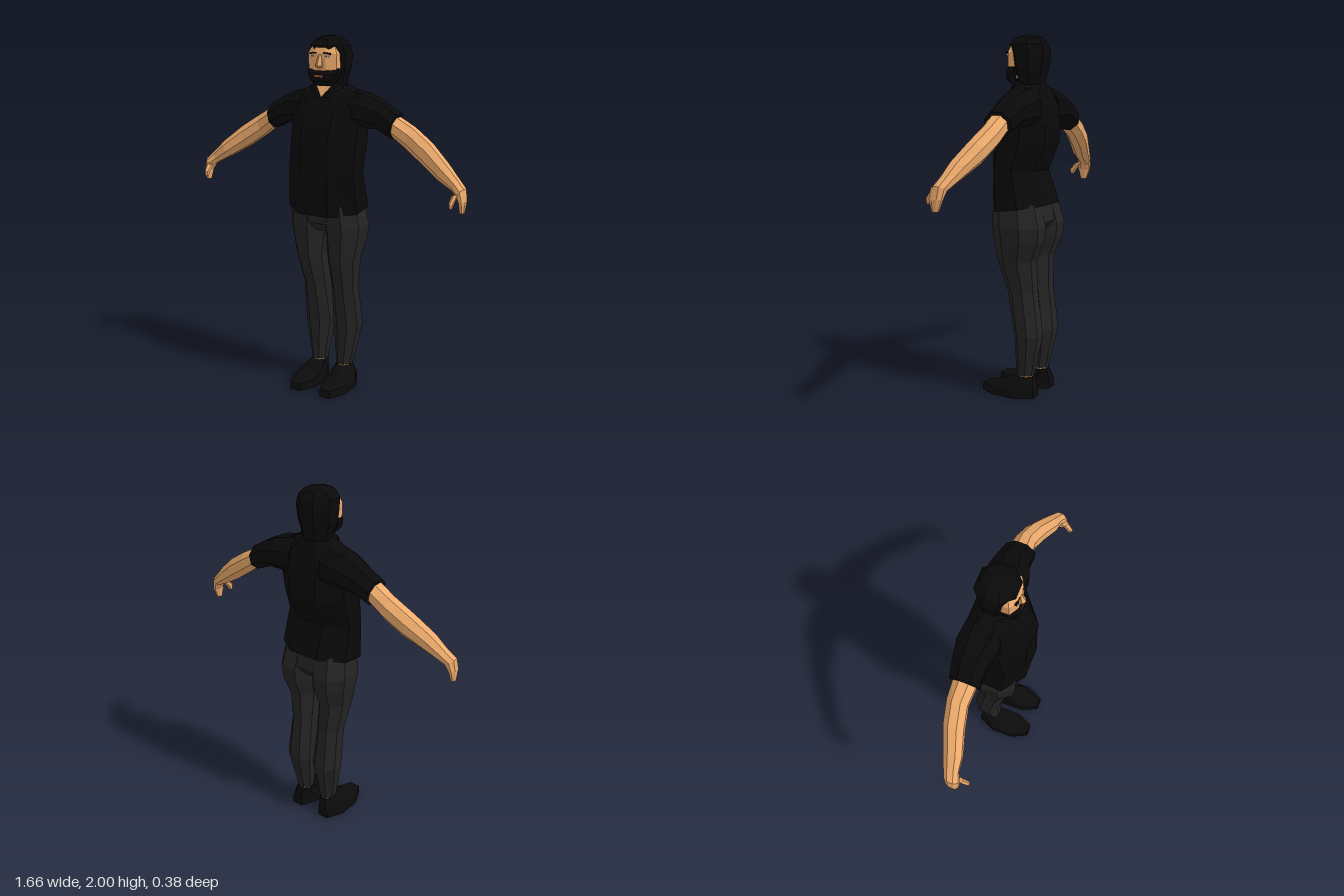
import * as THREE from 'three';

const SKIN = 0xecaa6c, SHIRT = 0x090909, TROUSERS = 0x242424, HAIR = 0x090909, SHOE = 0x0b0b0b;

const material = (color) => new THREE.MeshStandardMaterial({ color, flatShading: true });

// Closed loft through rings. Section: [x1, y1, x2, y2, zFront, zBack, tilt]:
// the ring spans the two xy points and zBack..zFront; tilt lowers the front and raises the back.
function loft(name, color, sections, side = 1, n = 8) {
  const k = 1 / Math.cos(Math.PI / n);
  const rings = sections.map(([x1, y1, x2, y2, zf, zb, tilt = 0]) =>
    Array.from({ length: n }, (_, i) => {
      const a = ((i + 0.5) / n) * Math.PI * 2;
      const u = Math.cos(a) * k, v = Math.sin(a) * k;
      return new THREE.Vector3(
        side * ((x1 + x2) / 2 + (u * (x1 - x2)) / 2),
        (y1 + y2) / 2 + (u * (y1 - y2)) / 2 - v * tilt,
        (zf + zb) / 2 + (v * (zf - zb)) / 2);
    }));
  const tris = [];
  const last = rings.length - 1;
  for (let r = 0; r < last; r++) {
    for (let i = 0; i < n; i++) {
      const j = (i + 1) % n;
      const a = rings[r][i], b = rings[r][j], c = rings[r + 1][j], d = rings[r + 1][i];
      tris.push([a, b, c], [a, c, d]);
    }
  }
  for (let i = 1; i < n - 1; i++) {
    tris.push([rings[0][0], rings[0][i + 1], rings[0][i]]);
    tris.push([rings[last][0], rings[last][i], rings[last][i + 1]]);
  }
  // Turn the faces outward
  const volume = tris.reduce((s, [a, b, c]) => s + a.dot(b.clone().cross(c)), 0);
  const points = tris.flatMap(([a, b, c]) => (volume < 0 ? [a, c, b] : [a, b, c]));
  const geometry = new THREE.BufferGeometry().setFromPoints(points);
  geometry.computeVertexNormals();
  const mesh = new THREE.Mesh(geometry, material(color));
  mesh.name = name;
  return mesh;
}

// Loft symmetric about x = 0, from [halfWidth, y, zFront, zBack, tilt]
const centred = (name, color, rows, n) =>
  loft(name, color, rows.map(([w, y, zf, zb, t]) => [w, y, -w, y, zf, zb, t]), 1, n);

// Upright limb from [outerX, innerX, y, zFront, zBack]
const upright = (name, color, rows, side) =>
  loft(name, color, rows.map(([xo, xi, y, zf, zb]) => [xo, y, xi, y, zf, zb]), side);

function block(name, color, size, position, roll = 0) {
  const mesh = new THREE.Mesh(new THREE.BoxGeometry(...size), material(color));
  mesh.name = name;
  mesh.position.set(...position);
  mesh.rotation.z = roll;
  return mesh;
}

function createHead() {
  const head = new THREE.Group();
  head.name = 'head';
  head.add(
    centred('neck', SKIN, [[0.065, 1.68, 0.01, -0.11], [0.06, 1.79, 0.02, -0.1]]),
    centred('hair', HAIR, [
      [0.078, 1.71, 0.005, -0.128], [0.085, 1.77, 0.015, -0.128], [0.103, 1.83, 0.035, -0.143],
      [0.109, 1.9, 0.045, -0.152], [0.102, 1.95, 0.06, -0.143], [0.07, 1.985, 0.03, -0.115],
      [0.03, 2.0, -0.015, -0.075]]),
    centred('face', SKIN, [
      [0.07, 1.77, 0.06, -0.03], [0.086, 1.83, 0.07, -0.03],
      [0.088, 1.91, 0.07, -0.03], [0.07, 1.95, 0.054, -0.03]]),
    centred('beard', HAIR, [
      [0.045, 1.74, 0.062, -0.02], [0.07, 1.765, 0.084, -0.03],
      [0.088, 1.8, 0.08, -0.03], [0.094, 1.832, 0.062, -0.03]]),
    centred('nose', SKIN, [
      [0.009, 1.905, 0.071, 0.05], [0.02, 1.848, 0.092, 0.05], [0.015, 1.835, 0.08, 0.05]], 6),
    block('mouth', 0x9c5040, [0.05, 0.01, 0.01], [0, 1.793, 0.079]));
  for (const side of [-1, 1]) {
    head.add(
      block('eyebrow', HAIR, [0.042, 0.008, 0.012], [side * 0.042, 1.912, 0.064], side * -0.12),
      block('eyeWhite', 0xd8d8d8, [0.026, 0.009, 0.01], [side * 0.04, 1.897, 0.064]),
      block('iris', 0x35506a, [0.01, 0.009, 0.012], [side * 0.04, 1.897, 0.0645]));
  }
  return head;
}

function createShirt() {
  const shirt = new THREE.Group();
  shirt.name = 'shirt';
  shirt.add(centred('torso', SHIRT, [
    [0.218, 1.065, 0.14, -0.185, 0.024], [0.205, 1.27, 0.137, -0.12], [0.203, 1.42, 0.14, -0.185],
    [0.205, 1.52, 0.112, -0.187], [0.22, 1.62, 0.07, -0.175], [0.19, 1.69, 0.043, -0.15],
    [0.095, 1.738, 0.02, -0.132]]));
  // Open neckline showing skin
  const neckline = new THREE.Mesh(new THREE.BufferGeometry().setFromPoints([
    new THREE.Vector3(-0.048, 1.742, 0.024), new THREE.Vector3(0, 1.678, 0.058),
    new THREE.Vector3(0.048, 1.742, 0.024)]), material(SKIN));
  neckline.geometry.computeVertexNormals();
  neckline.material.side = THREE.DoubleSide;
  neckline.name = 'neckline';
  shirt.add(neckline);
  for (const side of [-1, 1]) {
    shirt.add(loft('sleeve', SHIRT, [
      [0.1, 1.72, 0.1, 1.5, 0.02, -0.17], [0.22, 1.695, 0.2, 1.52, 0.035, -0.183],
      [0.31, 1.655, 0.28, 1.515, 0.005, -0.17], [0.402, 1.6, 0.375, 1.472, 0.002, -0.155]], side));
    // Collar flap beside the neckline
    shirt.add(loft('collar', SHIRT, [
      [0.1, 1.735, 0.06, 1.755, 0.0, -0.06], [0.085, 1.715, 0.045, 1.74, 0.03, 0.0],
      [0.035, 1.675, 0.006, 1.68, 0.062, 0.045]], side, 6));
  }
  return shirt;
}

function createArm(side) {
  const arm = new THREE.Group();
  arm.name = side > 0 ? 'leftArm' : 'rightArm';
  arm.add(
    loft('forearmAndHand', SKIN, [
      [0.37, 1.59, 0.355, 1.495, -0.015, -0.13], [0.405, 1.582, 0.385, 1.475, -0.015, -0.135],
      [0.49, 1.535, 0.457, 1.422, -0.025, -0.135], [0.6, 1.463, 0.56, 1.352, -0.005, -0.115],
      [0.71, 1.372, 0.668, 1.287, 0.025, -0.075], [0.775, 1.307, 0.748, 1.245, 0.03, -0.05],
      [0.822, 1.262, 0.772, 1.23, 0.045, -0.035], [0.832, 1.2, 0.795, 1.195, 0.048, -0.025],
      [0.826, 1.138, 0.802, 1.138, 0.034, -0.002]], side),
    loft('thumb', SKIN, [
      [0.8, 1.24, 0.77, 1.23, 0.06, 0.02], [0.79, 1.195, 0.768, 1.195, 0.095, 0.055],
      [0.785, 1.168, 0.772, 1.168, 0.09, 0.07]], side, 6));
  return arm;
}

function createLeg(side) {
  const leg = new THREE.Group();
  leg.name = side > 0 ? 'leftLeg' : 'rightLeg';
  leg.add(
    upright('trouserLeg', TROUSERS, [
      [0.2, 0, 1.1, 0.105, -0.15], [0.22, 0, 0.97, 0.105, -0.183], [0.208, 0.008, 0.89, 0.097, -0.175],
      [0.186, 0.02, 0.78, 0.083, -0.13], [0.161, 0.022, 0.6, 0.025, -0.135],
      [0.172, 0.012, 0.36, -0.018, -0.165], [0.127, 0.04, 0.122, -0.02, -0.115]], side),
    upright('ankle', SKIN, [
      [0.12, 0.046, 0.13, -0.025, -0.11], [0.12, 0.046, 0.1, -0.025, -0.11]], side),
    upright('shoe', SHOE, [
      [0.176, 0.02, 0, 0.188, -0.137], [0.172, 0.024, 0.045, 0.185, -0.137],
      [0.152, 0.032, 0.075, 0.065, -0.132], [0.126, 0.038, 0.115, -0.015, -0.122]], side));
  return leg;
}

export function createModel() {
  const model = new THREE.Group();
  model.name = 'man';
  model.add(createHead(), createShirt());
  model.add(centred('hips', TROUSERS, [
    [0.2, 1.12, 0.1, -0.15], [0.212, 0.99, 0.1, -0.17], [0.1, 0.94, 0.06, -0.13]]));
  for (const side of [-1, 1]) model.add(createArm(side), createLeg(side));
  return model;
}
